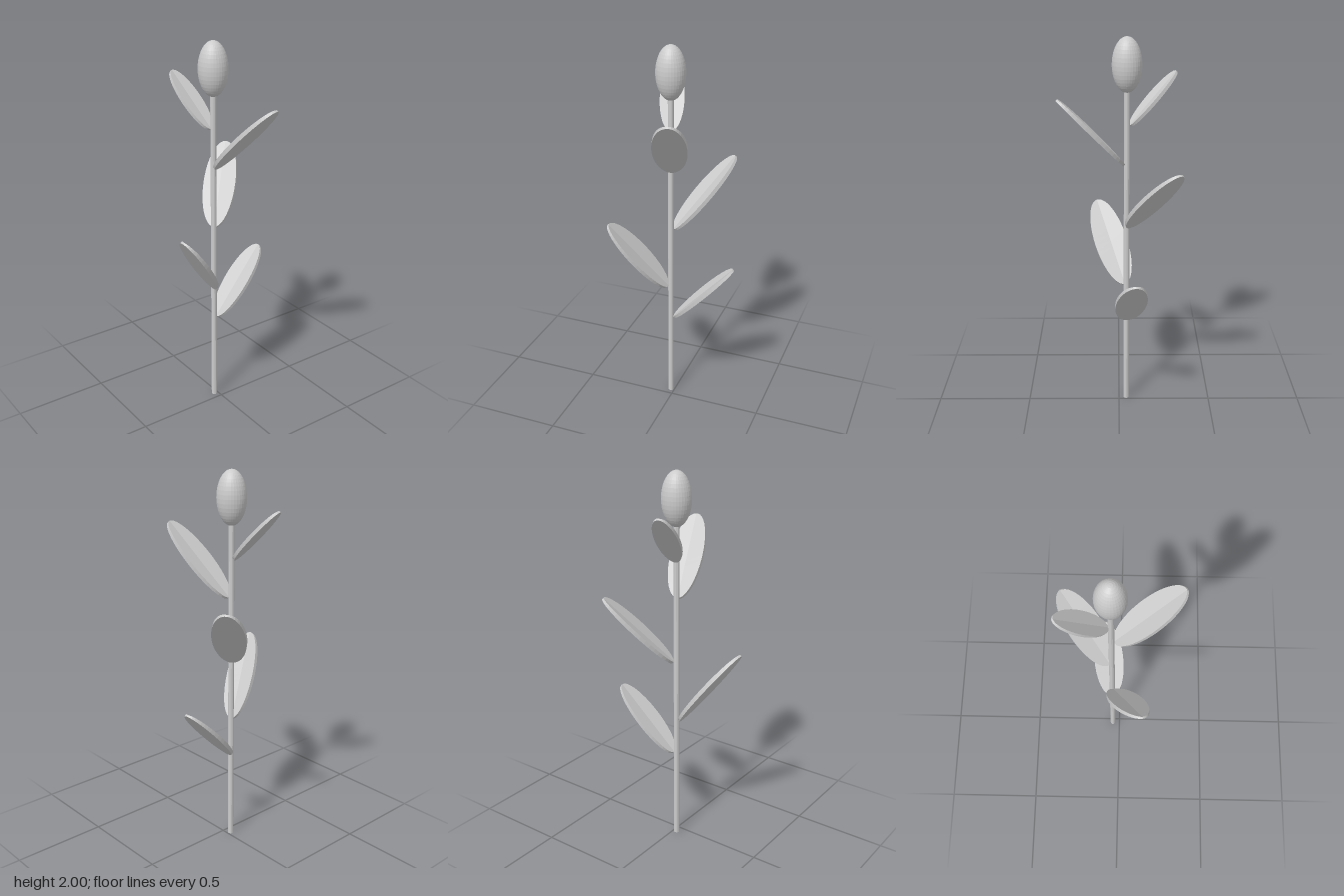
import * as THREE from 'three';

const STEM = { x: -0.04, z: 0.02 };

// Thin solid elliptical leaf along +z: flat underside, shallow V-fold on top
function leafGeometry(length, stations = 22) {
  const pos = [];
  const ring = (i) => {
    const a = (i / stations) * Math.PI;
    const z = (length / 2) * (1 - Math.cos(a));
    const w = length * 0.176 * Math.max(Math.sin(a), 0.02);
    const low = -0.008, mid = 0.002, edge = mid + 0.13 * w;
    return [[-w, low, z], [w, low, z], [w, edge, z], [0, mid, z], [-w, edge, z]];
  };
  const tri = (a, b, c) => pos.push(...a, ...b, ...c);
  for (let i = 0; i < stations; i++) {
    const p = ring(i), q = ring(i + 1);
    for (let k = 0; k < 5; k++) {
      const n = (k + 1) % 5;
      tri(p[k], p[n], q[n]);
      tri(p[k], q[n], q[k]);
    }
  }
  // End caps
  const s = ring(0), e = ring(stations);
  for (const [a, b] of [[0, 1], [1, 2], [2, 4], [4, 0]]) {
    tri(s[3], s[b], s[a]);
    tri(e[3], e[a], e[b]);
  }
  const g = new THREE.BufferGeometry();
  g.setAttribute('position', new THREE.Float32BufferAttribute(pos, 3));
  g.computeVertexNormals();
  return g;
}

export function createModel() {
  const model = new THREE.Group();
  model.name = 'flowerStalk';
  const grey = new THREE.MeshStandardMaterial({ color: 0xcccccc, flatShading: true });
  const leafGrey = new THREE.MeshStandardMaterial({
    color: 0xcccccc, flatShading: true, side: THREE.DoubleSide,
  });

  // Stem
  const stem = new THREE.Mesh(new THREE.CylinderGeometry(0.015, 0.015, 1.76, 12), grey);
  stem.name = 'stem';
  stem.position.set(STEM.x, 0.88, STEM.z);
  model.add(stem);

  // Egg-shaped bud
  const bud = new THREE.Mesh(new THREE.SphereGeometry(1, 32, 20), grey);
  bud.name = 'bud';
  bud.scale.set(0.075, 0.137, 0.075);
  bud.position.set(STEM.x, 1.863, STEM.z);
  model.add(bud);

  // Leaves spiralling up the stem: base height, length, heading, pitch, roll (degrees)
  const leaves = [
    [0.495, 0.46, 187.7, 46, -2],
    [0.69, 0.495, 29.3, 51, -22],
    [1.025, 0.5, 224.5, 45.5, -8],
    [1.36, 0.495, 109.4, 46, -5],
    [1.56, 0.356, 288, 47, -2],
  ];
  const rad = THREE.MathUtils.degToRad;
  leaves.forEach(([y, length, heading, pitch, roll], i) => {
    const leaf = new THREE.Mesh(leafGeometry(length), leafGrey);
    leaf.name = `leaf${i + 1}`;
    const h = rad(heading);
    leaf.position.set(STEM.x + 0.015 * Math.sin(h), y, STEM.z + 0.015 * Math.cos(h));
    leaf.rotation.set(-rad(pitch), h, rad(roll), 'YXZ');
    model.add(leaf);
  });

  return model;
}
